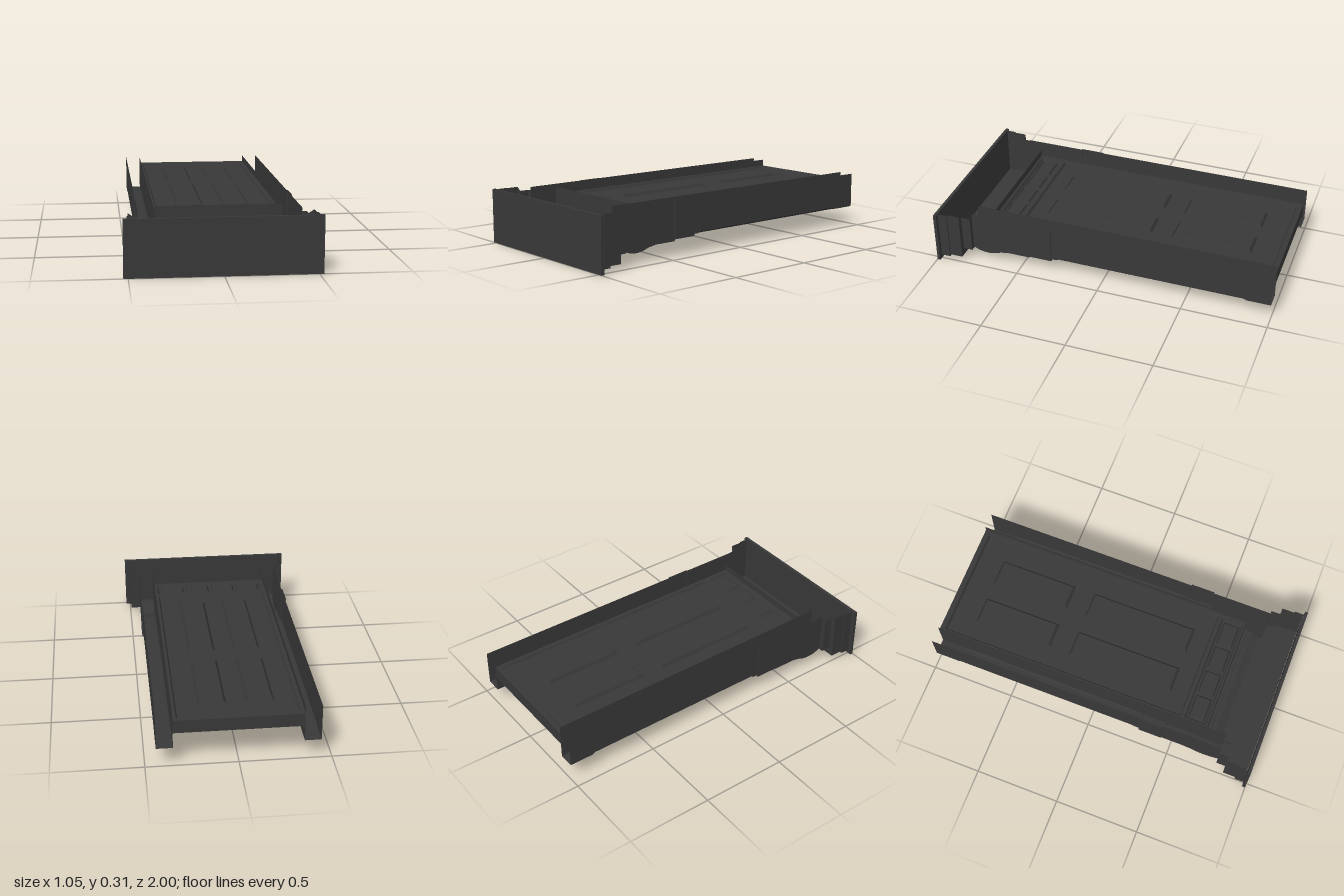
import * as THREE from 'three';

const paint = new THREE.MeshStandardMaterial({ color: 0x383838, side: THREE.DoubleSide });
paint.name = 'charcoal paint';

// Flat-shaded skin stretched between equal-length rows of points
function loft(rows) {
  const pos = [];
  for (let i = 0; i < rows.length - 1; i++) {
    for (let j = 0; j < rows[i].length - 1; j++) {
      const a = rows[i][j], b = rows[i][j + 1], c = rows[i + 1][j + 1], d = rows[i + 1][j];
      pos.push(...a, ...b, ...c, ...a, ...c, ...d);
    }
  }
  const g = new THREE.BufferGeometry();
  g.setAttribute('position', new THREE.Float32BufferAttribute(pos, 3));
  g.computeVertexNormals();
  return g;
}

const corners = (x0, x1, z0, z1) => [[x0, z0], [x1, z0], [x1, z1], [x0, z1]];
const ring = (x0, x1, z0, z1, y) => [...corners(x0, x1, z0, z1), [x0, z0]].map(([x, z]) => [x, y, z]);

// Horizontal slab with rectangular openings, each given as [x0, x1, z0, z1]
function slab(rect, y0, y1, holes = []) {
  const points = r => corners(...r).map(p => new THREE.Vector2(...p));
  const shape = new THREE.Shape(points(rect));
  holes.forEach(h => shape.holes.push(new THREE.Path(points(h))));
  const g = new THREE.ExtrudeGeometry(shape, { depth: y1 - y0, bevelEnabled: false });
  return g.rotateX(Math.PI / 2).translate(0, y1, 0);
}

// Box whose upper face is drawn in, giving bevelled sides
function bevelled([x0, x1, z0, z1], y0, y1, inset) {
  const w = x1 - x0, d = z1 - z0;
  const g = new THREE.BoxGeometry(w, y1 - y0, d).toNonIndexed();
  const p = g.attributes.position;
  for (let i = 0; i < p.count; i++) {
    if (p.getY(i) > 0) {
      p.setX(i, p.getX(i) * (1 - 2 * inset / w));
      p.setZ(i, p.getZ(i) * (1 - 2 * inset / d));
    }
  }
  g.computeVertexNormals();
  return g.translate((x0 + x1) / 2, (y0 + y1) / 2, (z0 + z1) / 2);
}

export function createModel() {
  const model = new THREE.Group();
  model.name = 'panelledDoorSurround';
  const add = (name, geometry, parent = model) => {
    const m = new THREE.Mesh(geometry, paint);
    m.name = name;
    parent.add(m);
    return m;
  };

  // Pilasters: open channels with a scrolled bracket; [z, face y, edge y, outer x]
  const profile = [
    [-1, 0.11, 0.11, 0.44], [-0.86, 0.11, 0.11, 0.44], [-0.84, 0.11, 0.12, 0.44],
    [0.25, 0.11, 0.12, 0.44], [0.27, 0.11, 0.11, 0.44], [0.30, 0.11, 0.11, 0.44],
    [0.30, 0.10, 0.10, 0.447], [0.44, 0.10, 0.10, 0.447], [0.44, 0.088, 0.088, 0.44],
    [0.57, 0.088, 0.088, 0.44], [0.62, 0.08, 0.08, 0.44], [0.66, 0.066, 0.066, 0.44],
    [0.70, 0.06, 0.06, 0.44], [0.74, 0.063, 0.063, 0.44], [0.77, 0.072, 0.072, 0.44],
    [0.795, 0.086, 0.086, 0.44],
  ];
  for (const s of [1, -1]) {
    const rows = profile.map(([z, face, edge, x]) => [
      [s * x, 0.315, z], [s * x, edge, z], [s * (x - 0.01), face, z],
      [s * 0.36, face, z], [s * 0.35, edge, z], [s * 0.35, 0.315, z],
    ]);
    add(s > 0 ? 'leftPilaster' : 'rightPilaster', loft(rows));
  }

  // Cornice: hollow stepped channel; [z, half width, end y, middle y, top y]
  const cornice = [
    [0.795, 0.44, 0.086, 0.10, 0.295], [0.795, 0.465, 0.076, 0.10, 0.295],
    [0.85, 0.465, 0.076, 0.10, 0.295], [0.85, 0.495, 0.033, 0.033, 0.315],
    [0.925, 0.495, 0.033, 0.033, 0.315], [0.925, 0.503, 0.024, 0.024, 0.315],
    [0.98, 0.503, 0.024, 0.024, 0.315], [0.98, 0.525, 0.002, 0.002, 0.315],
  ];
  add('cornice', loft(cornice.map(([z, w, end, mid, top]) => [
    [-w, top, z], [-w, end, z], [-0.33, end, z], [-0.33, mid, z],
    [0.33, mid, z], [0.33, end, z], [w, end, z], [w, top, z],
  ])));
  add('corniceCap', new THREE.BoxGeometry(1.05, 0.315, 0.018).translate(0, 0.1575, 0.991));

  // Stepped lintel between the pilasters
  const lintel = [
    [0.68, 0.315], [0.68, 0.19], [0.70, 0.19], [0.70, 0.16], [0.73, 0.16],
    [0.73, 0.14], [0.77, 0.12], [0.77, 0.10], [0.795, 0.10],
  ];
  add('lintel', loft([-0.35, 0.35].map(x => lintel.map(([z, y]) => [x, y, z]))));

  // Door frame with one opening for the door and one for the transom
  const doorOpening = [-0.33, 0.33, -0.97, 0.515];
  const transomOpening = [-0.33, 0.33, 0.535, 0.668];
  add('doorFrame', slab([-0.35, 0.35, -1, 0.68], 0.2, 0.275, [doorOpening, transomOpening]));
  for (const [x0, x1, z0, z1] of [doorOpening, transomOpening]) {
    const t = 0.01;
    add('openingMoulding', loft([
      ring(x0, x1, z0, z1, 0.275), ring(x0 + t, x1 - t, z0 + t, z1 - t, 0.258),
    ]));
  }

  // Door leaf with four bevelled panels
  const panels = [];
  for (const x of [-0.21, 0.05]) {
    panels.push([x, x + 0.155, -0.82, -0.35], [x, x + 0.155, -0.23, 0.41]);
  }
  const door = new THREE.Group();
  door.name = 'door';
  model.add(door);
  add('doorLeaf', slab(doorOpening, 0.24, 0.26, panels), door);
  panels.forEach(p => add('doorPanel', bevelled(p, 0.252, 0.275, 0.014), door));
  add('letterPlate', new THREE.BoxGeometry(0.15, 0.012, 0.04).translate(0, 0.235, -0.29), door);

  // Transom with four small lights
  const lights = [-0.315, -0.155, 0.005, 0.165].map(x => [x, x + 0.145, 0.553, 0.652]);
  add('transom', slab(transomOpening, 0.24, 0.26, lights));
  lights.forEach(l => add('transomLight', bevelled(l, 0.25, 0.268, 0.01)));

  return model;
}
